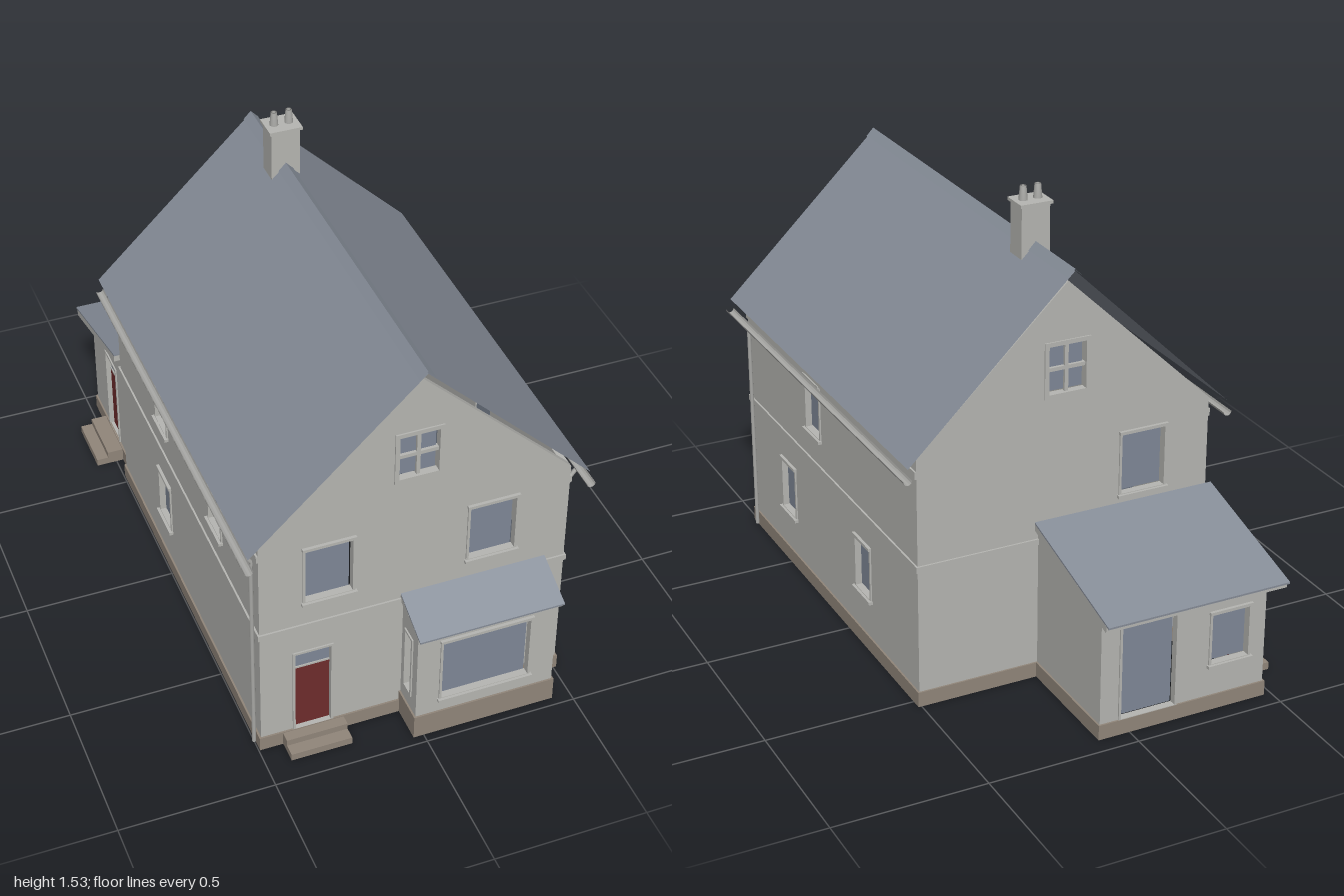
import * as THREE from 'three';

const mat = (name, color, side = THREE.FrontSide) => {
  const m = new THREE.MeshStandardMaterial({ color, side });
  m.name = name;
  return m;
};

export function createModel() {
  const M = {
    wall: mat('render grey', 0xb6b6b2),
    slate: mat('slate', 0x868d98, THREE.DoubleSide),
    glass: mat('window glass', 0x7f8897, THREE.DoubleSide),
    stone: mat('plinth stone', 0x91867a),
    door: mat('door red', 0x6e2c2c, THREE.DoubleSide),
    metal: mat('gutter grey', 0xa9a9a6, THREE.DoubleSide),
  };
  const T = 0.02; // wall thickness
  const model = new THREE.Group();
  model.name = 'house';

  const add = (parent, name, geo, material) => {
    const m = new THREE.Mesh(geo, material);
    m.name = name;
    parent.add(m);
    return m;
  };
  // box given by its limits
  const box = (parent, name, material, x0, x1, y0, y1, z0, z1) => {
    const m = add(parent, name, new THREE.BoxGeometry(x1 - x0, y1 - y0, z1 - z0), material);
    m.position.set((x0 + x1) / 2, (y0 + y1) / 2, (z0 + z1) / 2);
    return m;
  };
  const poly = (pts) => new THREE.Shape(pts.map((p) => new THREE.Vector2(...p)));
  const rect = (x0, x1, y0, y1) => poly([[x0, y0], [x1, y0], [x1, y1], [x0, y1]]);
  const slab = (shape, depth) => new THREE.ExtrudeGeometry(shape, { depth, bevelEnabled: false });

  // raised border around an opening
  const border = (parent, name, o, w, z, depth) => {
    const s = rect(o.x0 - w, o.x1 + w, o.y0 - (o.door ? 0 : w), o.y1 + w);
    s.holes.push(rect(o.x0, o.x1, o.y0, o.y1));
    add(parent, name, slab(s, depth), M.wall).position.z = z;
  };

  // window or door in a wall that faces local +z
  const fitOpening = (parent, o) => {
    const g = new THREE.Group();
    g.name = o.door ? 'door' : 'window';
    parent.add(g);
    const e = 0.006, zp = -T + 0.002, { x0, x1, y0, y1 } = o;
    border(g, 'surround', o, o.trim ?? 0.008, 0, 0.005);
    if (o.door) {
      const split = y1 - 0.07;
      box(g, 'doorPanel', M.door, x0, x1, y0, split, zp, zp + 0.006);
      box(g, 'transomBar', M.wall, x0, x1, split, split + 0.006, zp, zp + 0.008);
      box(g, 'transomGlass', M.glass, x0, x1, split + 0.006, y1, zp, zp + 0.004);
      return;
    }
    box(g, 'pane', M.glass, x0 + e, x1 - e, y0 + e, y1 - e, zp, zp + 0.004);
    if (o.bars) {
      const cx = (x0 + x1) / 2, cy = (y0 + y1) / 2;
      box(g, 'verticalBar', M.wall, cx - 0.006, cx + 0.006, y0, y1, zp - 0.002, -0.004);
      box(g, 'crossBar', M.wall, x0, x1, cy - 0.006, cy + 0.006, zp - 0.002, -0.004);
    }
    if (!o.noSill) {
      box(g, 'sill', M.wall, x0 - 0.013, x1 + 0.013, y0 - 0.012, y0 - 0.002, -0.004, 0.014);
      box(g, 'lintel', M.wall, x0 - 0.01, x1 + 0.01, y1 + 0.002, y1 + 0.012, -0.004, 0.01);
    }
  };

  // wall with openings; outline is in the wall's own plane, seen from outside
  const wall = (name, outline, openings, pos, turn) => {
    const g = new THREE.Group();
    g.name = name;
    const s = poly(outline);
    openings.forEach((o) => s.holes.push(rect(o.x0, o.x1, o.y0, o.y1)));
    add(g, name + 'Panel', slab(s, T), M.wall).position.z = -T;
    openings.forEach((o) => fitOpening(g, o));
    g.position.set(...pos);
    g.rotation.y = turn;
    model.add(g);
    return g;
  };
  const win = (cx, y0, y1, w, extra = {}) => ({ x0: cx - w / 2, x1: cx + w / 2, y0, y1, ...extra });
  const Q = Math.PI / 2;

  // main house limits
  const L = -0.49, R = 0.505, F = 0.845, B = -0.53, C = 0.0075, EAVE = 0.84, APEX = 1.315;

  // gable walls
  const attic = (cx) => win(cx, 0.96, 1.115, 0.125, { bars: true, trim: 0.014, noSill: true });
  wall('frontWall', [[L, 0], [R, 0], [R, EAVE], [C, APEX], [L, EAVE]], [
    win(-0.27, 0.575, 0.775, 0.15), win(0.255, 0.575, 0.775, 0.15), attic(C),
    { x0: -0.378, x1: -0.262, y0: 0.05, y1: 0.365, door: true },
  ], [0, 0, F], 0);
  wall('backWall', [[-R, 0], [-L, 0], [-L, EAVE], [-C, APEX], [-R, EAVE]],
    [win(0.26, 0.575, 0.775, 0.15), attic(-C)], [0, 0, B], Math.PI);

  // long side walls
  const side = (a, b, h) => [[a, 0], [b, 0], [b, h], [a, h]];
  wall('leftWall', side(-F + T, -B - T, EAVE), [
    win(-0.27, 0.585, 0.765, 0.11), win(-0.505, 0.19, 0.365, 0.11), win(0.115, 0.19, 0.365, 0.11),
  ], [R, 0, 0], Q);
  wall('rightWall', side(B + T, F - T, EAVE), [
    win(0.46, 0.585, 0.765, 0.11), win(-0.065, 0.585, 0.765, 0.11), win(-0.06, 0.19, 0.365, 0.11),
  ], [L, 0, 0], -Q);

  // string course and eaves plates
  const p = 0.006;
  box(model, 'stringCourseFront', M.wall, L - p, R + p, 0.465, 0.485, F, F + p);
  box(model, 'stringCourseBack', M.wall, L - p, R + p, 0.465, 0.485, B - p, B);
  for (const [x0, x1] of [[L - p, L], [R, R + p]]) {
    box(model, 'stringCourseSide', M.wall, x0, x1, 0.465, 0.485, B, F);
    box(model, 'eavesPlate', M.wall, x0, x1, 0.775, 0.80, B, F);
    box(model, 'plinthSide', M.stone, x0, x1, 0, 0.05, B - p, F + p);
  }
  box(model, 'plinthFront', M.stone, L, R, 0, 0.05, F, F + p);
  box(model, 'plinthBack', M.stone, L, R, 0, 0.05, B - p, B);

  // thin sheet swept along z from a cross-section in x,y
  const sheet = (name, pts, z0, z1, material) => {
    const v = [];
    for (let i = 0; i < pts.length - 1; i++) {
      const [a, b] = [pts[i], pts[i + 1]];
      const q = [[...a, z0], [...a, z1], [...b, z1], [...b, z0]];
      [0, 1, 2, 0, 2, 3].forEach((k) => v.push(...q[k]));
    }
    const g = new THREE.BufferGeometry();
    g.setAttribute('position', new THREE.Float32BufferAttribute(v, 3));
    g.computeVertexNormals();
    return add(model, name, g, material);
  };

  // main roof and ridge cap
  const RZ0 = -0.57, RZ1 = 0.885;
  sheet('mainRoof', [[C - 0.542, 0.835], [C, 1.36], [C + 0.542, 0.835]], RZ0, RZ1, M.slate);
  sheet('ridgeCap', [[C - 0.025, 1.341], [C, 1.367], [C + 0.025, 1.341]], RZ0, RZ1, M.slate);

  // gutters and downpipes, mirrored about the ridge
  for (const s of [-1, 1]) {
    const gx = C + s * 0.543, arc = [];
    for (let i = 0; i <= 6; i++) {
      const a = Math.PI + (i / 6) * Math.PI;
      arc.push([gx + 0.014 * Math.cos(a), 0.797 + 0.014 * Math.sin(a)]);
    }
    sheet('gutter', arc, RZ0, 0.895, M.metal);
    const path = new THREE.CurvePath();
    const pts = [[0.532, 0.787], [0.508, 0.755], [0.508, 0.005]]
      .map(([x, y]) => new THREE.Vector3(C + s * x, y, 0.81));
    path.add(new THREE.LineCurve3(pts[0], pts[1]));
    path.add(new THREE.LineCurve3(pts[1], pts[2]));
    add(model, 'downpipe', new THREE.TubeGeometry(path, 40, 0.007, 8), M.metal);
  }

  // chimney with two pots
  box(model, 'chimneyStack', M.wall, -0.04, 0.055, 1.29, 1.48, -0.32, -0.245);
  box(model, 'chimneyCap', M.wall, -0.047, 0.062, 1.48, 1.49, -0.328, -0.238);
  for (const x of [-0.017, 0.032]) {
    const pot = new THREE.LatheGeometry([[0.014, 0], [0.01, 0.045], [0.006, 0.045], [0.006, 0.01]]
      .map((q) => new THREE.Vector2(...q)), 12);
    add(model, 'chimneyPot', pot, M.metal).position.set(x, 1.49, -0.283);
  }

  // lean-to roof: profile in z,y swept across x
  const leanTo = (name, pts, x0, x1, materials) => {
    const m = add(model, name, slab(poly(pts.map(([z, y]) => [-z, y])), x1 - x0), materials);
    m.rotation.y = Q;
    m.position.x = x0;
    return m;
  };

  // front bay
  const bx0 = -0.028, bx1 = 0.433, bz = 0.965;
  wall('bayFront', [[bx0, 0], [bx1, 0], [bx1, 0.42], [bx0, 0.42]],
    [{ x0: 0.055, x1: 0.345, y0: 0.142, y1: 0.373 }], [0, 0, bz], 0);
  wall('bayLeft', [[-bz + T, 0], [-F, 0], [-F, 0.475], [-bz + T, 0.42]],
    [win(-0.9, 0.148, 0.372, 0.046, { noSill: true })], [bx1, 0, 0], Q);
  wall('bayRight', [[F, 0], [bz - T, 0], [bz - T, 0.42], [F, 0.475]],
    [win(0.9, 0.148, 0.372, 0.046, { noSill: true })], [bx0, 0, 0], -Q);
  box(model, 'bayPlinthFront', M.stone, bx0 - p, bx1 + p, 0, 0.085, bz, bz + p);
  box(model, 'bayPlinthLeft', M.stone, bx1, bx1 + p, 0, 0.085, F, bz);
  box(model, 'bayPlinthRight', M.stone, bx0 - p, bx0, 0, 0.085, F, bz);
  leanTo('bayRoof', [[F, 0.475], [0.985, 0.412], [0.985, 0.436], [F, 0.496]], -0.037, 0.439, M.wall);
  leanTo('baySlates', [[F, 0.496], [1, 0.43], [1, 0.436], [F, 0.502]], -0.037, 0.439, M.slate);

  // rear extension
  const ex0 = -0.47, ex1 = 0.1, ez = -0.937;
  wall('extensionBack', [[-ex1, 0], [-ex0, 0], [-ex0, 0.405], [-ex1, 0.405]], [
    { x0: -0.03, x1: 0.155, y0: 0.052, y1: 0.37, noSill: true },
    win(0.345, 0.16, 0.33, 0.13),
  ], [0, 0, ez], Math.PI);
  wall('extensionLeft', [[-B, 0], [-ez - T, 0], [-ez - T, 0.405], [-B, 0.515]], [], [ex1, 0, 0], Q);
  wall('extensionRight', [[ez + T, 0], [B, 0], [B, 0.515], [ez + T, 0.405]],
    [{ x0: -0.775, x1: -0.665, y0: 0.05, y1: 0.365, door: true }], [ex0, 0, 0], -Q);
  box(model, 'extensionPlinthBack', M.stone, ex0 - p, ex1 + p, 0, 0.05, ez - p, ez);
  box(model, 'extensionPlinthLeft', M.stone, ex1, ex1 + p, 0, 0.05, ez, B);
  box(model, 'extensionPlinthRight', M.stone, ex0 - p, ex0, 0, 0.05, ez, B);
  leanTo('extensionRoof', [[B, 0.515], [-0.985, 0.392], [-0.985, 0.415], [B, 0.537]], -0.51, 0.112, M.wall);
  leanTo('extensionSlates', [[B, 0.537], [-1, 0.411], [-1, 0.417], [B, 0.543]], -0.51, 0.112, M.slate);

  // door steps
  box(model, 'frontStepLower', M.stone, -0.42, -0.22, 0, 0.025, F, 0.925);
  box(model, 'frontStepUpper', M.stone, -0.42, -0.22, 0.025, 0.047, F, 0.885);
  box(model, 'sideStepLower', M.stone, -0.57, ex0, 0, 0.025, -0.82, -0.62);
  box(model, 'sideStepUpper', M.stone, -0.53, ex0, 0.025, 0.047, -0.82, -0.62);

  return model;
}
